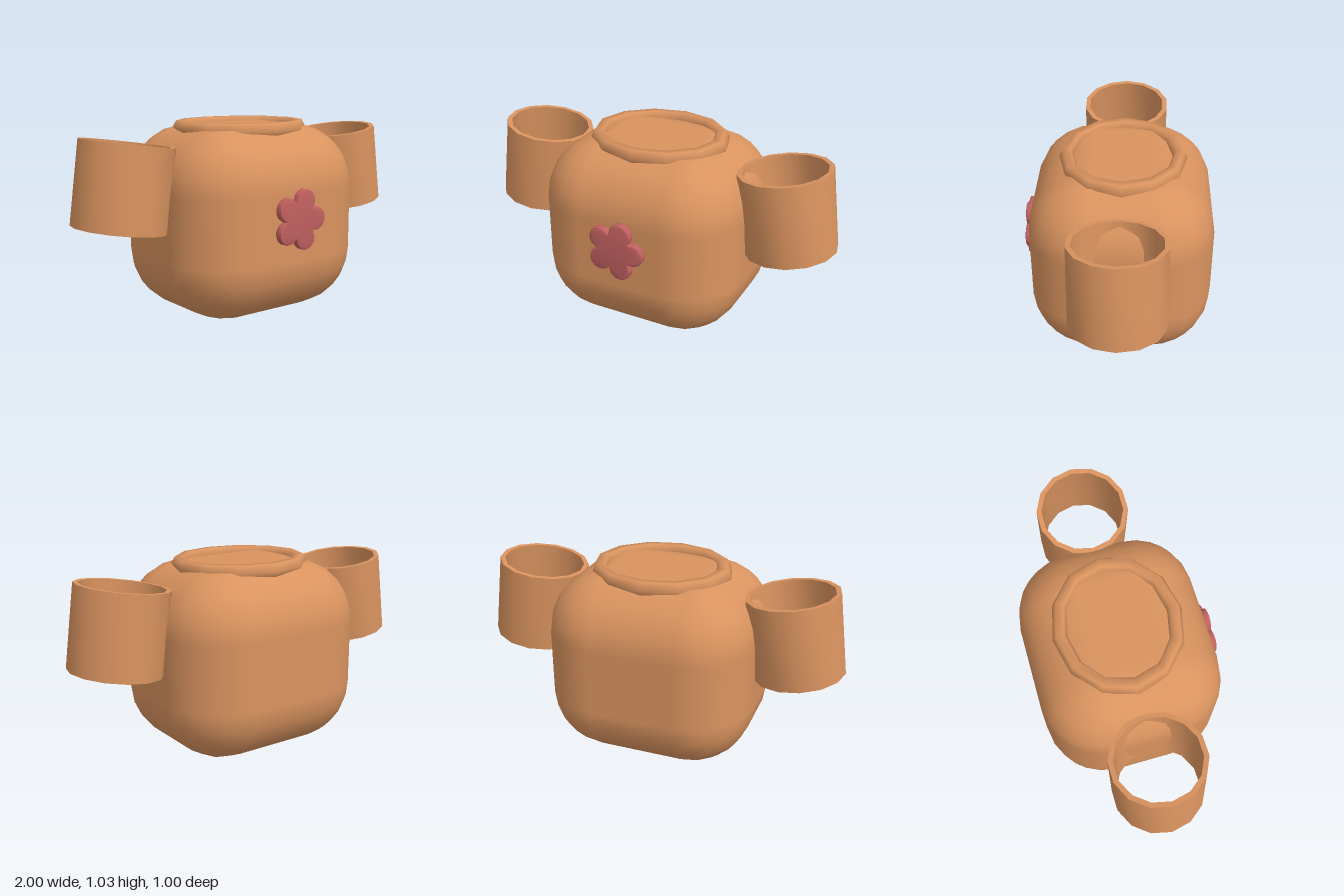
import * as THREE from 'three';
import { RoundedBoxGeometry } from 'three/addons/geometries/RoundedBoxGeometry.js';
import { toCreasedNormals } from 'three/addons/utils/BufferGeometryUtils.js';

const CENTER_Z = -0.017;

function addMesh(parent, name, geometry, material) {
  const mesh = new THREE.Mesh(geometry, material);
  mesh.name = name;
  parent.add(mesh);
  return mesh;
}

// Five round petals merged into one outline
function flowerShape(petals, distance, radius) {
  const points = [];
  const steps = 8;
  const sector = (Math.PI * 2) / petals;
  for (let i = 0; i < petals; i++) {
    for (let j = 0; j < steps; j++) {
      const a = (j / steps - 0.5) * sector;
      const r = distance * Math.cos(a) + Math.sqrt(radius ** 2 - (distance * Math.sin(a)) ** 2);
      const t = i * sector + a;
      points.push(new THREE.Vector2(r * Math.cos(t), r * Math.sin(t)));
    }
  }
  return new THREE.Shape(points);
}

// Open tube with a wall, closed around its rims
function sleeveGeometry(outer, inner, height) {
  const h = height / 2;
  const profile = [[outer, -h], [outer, h], [inner, h], [inner, -h], [outer, -h]]
    .map(([x, y]) => new THREE.Vector2(x, y));
  return toCreasedNormals(new THREE.LatheGeometry(profile, 14, Math.PI / 2), 0.6);
}

export function createModel() {
  const model = new THREE.Group();
  model.name = 'shirt';
  const cloth = new THREE.MeshStandardMaterial({ color: 0xd9935f });
  const pink = new THREE.MeshStandardMaterial({ color: 0xc0605f });

  // Soft block body
  const body = addMesh(model, 'body', new RoundedBoxGeometry(1.12, 1.012, 0.965, 3, 0.33), cloth);
  body.position.set(0, 0.506, CENTER_Z);

  // Oval collar ring
  const collar = addMesh(model, 'collar', new THREE.TorusGeometry(0.335, 0.045, 6, 12).rotateX(Math.PI / 2), cloth);
  collar.scale.z = 0.88;
  collar.position.set(0, 0.991, -0.02);

  // Tilted open sleeves, mirrored
  for (const [name, side] of [['leftSleeve', 1], ['rightSleeve', -1]]) {
    const sleeve = addMesh(model, name, sleeveGeometry(0.244, 0.218, 0.434), cloth);
    sleeve.position.set(side * 0.73, 0.731, CENTER_Z);
    sleeve.rotation.z = side * THREE.MathUtils.degToRad(8);
  }

  // Bevelled flower badge on the chest
  const badge = new THREE.ExtrudeGeometry(flowerShape(5, 0.1, 0.062), {
    depth: 0.03, bevelEnabled: true, bevelThickness: 0.01, bevelSize: 0.01, bevelOffset: -0.01, bevelSegments: 2,
  });
  const flower = addMesh(model, 'flowerBadge', toCreasedNormals(badge, 0.6), pink);
  flower.position.set(0, 0.55, 0.46);

  return model;
}
